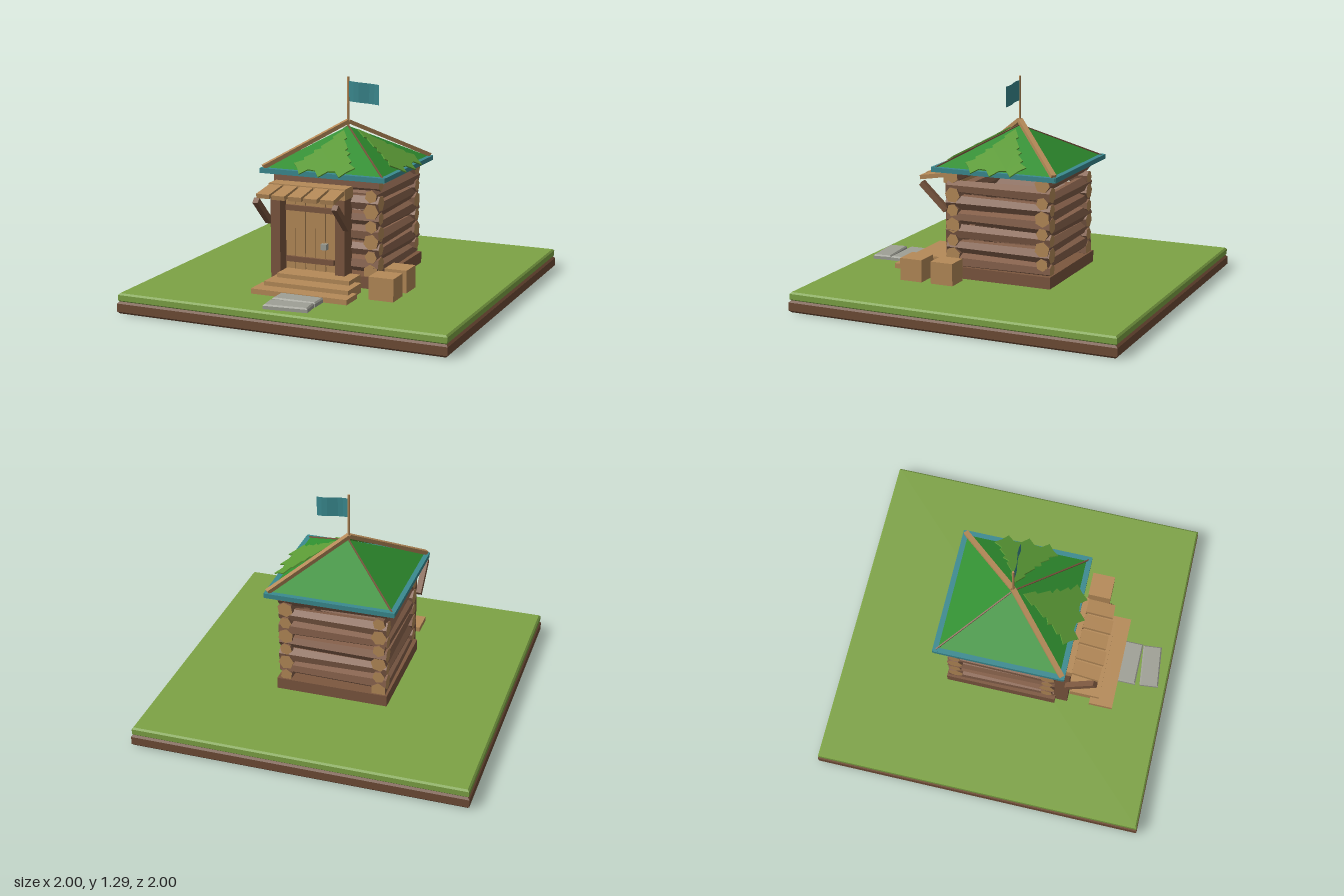
import * as THREE from 'three';

const mat = (name, color, extra = {}) => {
  const m = new THREE.MeshStandardMaterial({ color, flatShading: true, ...extra });
  m.name = name;
  return m;
};

export function createModel() {
  const soil = mat('soil', 0x6f4c36);
  const grass = mat('grass', 0x7da345);
  const bark = mat('bark', 0x85604a);
  const darkWood = mat('dark wood', 0x7c573f);
  const tan = mat('light wood', 0xb58a58);
  const roofGreen = mat('roof green', 0x2f8f2f);
  const leaf = mat('leaf green', 0x5c9c36);
  const teal = mat('teal', 0x3a8a90, { side: THREE.DoubleSide });
  const stone = mat('stone', 0x9fa096);

  const model = new THREE.Group();
  model.name = 'logCabin';
  const add = (name, geo, material, x = 0, y = 0, z = 0, parent = model) => {
    const m = new THREE.Mesh(geo, material);
    m.name = name;
    m.position.set(x, y, z);
    parent.add(m);
    return m;
  };
  // Box given by its limits on each axis
  const block = (name, material, [x0, x1], [y0, y1], [z0, z1], parent) =>
    add(name, new THREE.BoxGeometry(x1 - x0, y1 - y0, z1 - z0), material,
      (x0 + x1) / 2, (y0 + y1) / 2, (z0 + z1) / 2, parent);
  // Rectangular beam between two points
  const beam = (name, material, a, b, w, h) => {
    const p = new THREE.Vector3(...a), q = new THREE.Vector3(...b);
    const m = add(name, new THREE.BoxGeometry(w, h, p.distanceTo(q)), material);
    m.position.copy(p).lerp(q, 0.5);
    m.lookAt(q);
    return m;
  };
  // Slab with chamfered top and bottom edges
  const slab = (name, material, w, d, h, bevel, x, y, z) => {
    const a = w / 2 - bevel, b = d / 2 - bevel;
    const s = new THREE.Shape([[-a, -b], [a, -b], [a, b], [-a, b]].map(p => new THREE.Vector2(...p)));
    const g = new THREE.ExtrudeGeometry(s, {
      depth: h - 2 * bevel, bevelEnabled: true, bevelSize: bevel, bevelThickness: bevel, bevelSegments: 1,
    });
    g.rotateX(-Math.PI / 2);
    return add(name, g, material, x, y + bevel, z);
  };

  // Ground
  slab('soil', soil, 2, 2, 0.072, 0.012, 0, 0, 0);
  slab('grass', grass, 1.99, 1.99, 0.052, 0.01, 0, 0.068, 0);

  // Foundation and interlocking log walls
  block('foundation', darkWood, [-0.34, 0.34], [0.12, 0.19], [-0.34, 0.34]);
  const walls = new THREE.Group();
  walls.name = 'logWalls';
  model.add(walls);
  const log = (i, along, y, offset) => {
    const flip = i % 2 ? 1 : -1;
    const g = new THREE.CylinderGeometry(0.043 + 0.005 * flip, 0.043 - 0.005 * flip, 0.66, 6);
    g.rotateY(i * 0.37);
    if (along === 'x') g.rotateZ(Math.PI / 2); else g.rotateX(Math.PI / 2);
    add('log', g, [bark, tan, tan], along === 'x' ? 0 : offset, y, along === 'x' ? offset : 0, walls);
  };
  for (let i = 0; i < 6; i++) {
    for (const s of [-1, 1]) {
      log(i + (s > 0 ? 3 : 0), 'z', 0.215 + 0.089 * i, s * 0.285);
      log(i + (s > 0 ? 2 : 1), 'x', i === 5 ? 0.725 : 0.255 + 0.09 * i, s * 0.285);
    }
  }

  // Door, frame and handle
  for (let i = 0; i < 5; i++) {
    const x = -0.235 + i * 0.064;
    block('doorPlank', tan, [x, x + 0.06], [0.19, 0.645], [0.33, 0.365 + (i % 2) * 0.004]);
  }
  for (const y of [0.26, 0.565]) block('doorStrap', darkWood, [-0.23, 0.075], [y - 0.016, y + 0.016], [0.36, 0.383]);
  block('doorHandle', stone, [0, 0.035], [0.335, 0.37], [0.36, 0.395]);
  for (const x of [-0.31, 0.1]) block('doorPost', darkWood, [x, x + 0.06], [0.12, 0.645], [0.31, 0.415]);
  block('lintel', tan, [-0.315, 0.165], [0.645, 0.71], [0.31, 0.425]);

  // Sloped canopy on diagonal braces
  for (let i = 0; i < 5; i++) {
    const x = -0.268 + i * 0.097;
    const tip = 0.585 + (i % 2) * 0.008;
    beam('canopyPlank', tan, [x, 0.695, 0.40], [x + (i - 2) * 0.003, 0.665, tip], 0.082, 0.026);
  }
  for (const x of [-0.325, 0.168]) beam('canopyBrace', darkWood, [x, 0.48, 0.405], [x, 0.635, 0.57], 0.034, 0.035);

  // Steps
  block('lowerStep', tan, [-0.3, 0.295], [0.118, 0.15], [0.55, 0.695]);
  block('middleStep', tan, [-0.26, 0.265], [0.118, 0.175], [0.42, 0.605]);
  block('upperStep', tan, [-0.23, 0.225], [0.118, 0.2], [0.34, 0.5]);

  // Stepping stones and crates
  slab('steppingStone', stone, 0.265, 0.115, 0.035, 0.008, 0.02, 0.112, 0.745);
  slab('steppingStone', stone, 0.26, 0.115, 0.035, 0.008, 0.025, 0.112, 0.875).rotation.y = 0.1;
  block('crate', tan, [0.36, 0.51], [0.12, 0.253], [0.4, 0.54]);
  block('crate', tan, [0.375, 0.51], [0.12, 0.253], [0.2, 0.34]);

  // Pyramid roof with trim and ridge beams
  const pyramid = new THREE.ConeGeometry(0.38 * Math.SQRT2, 0.225, 4);
  pyramid.rotateY(Math.PI / 4);
  add('roof', pyramid, roofGreen, 0, 0.8875, 0);
  for (const s of [-1, 1]) {
    block('eaveTrim', teal, [-0.39, 0.39], [0.757, 0.786], [s * 0.377 - 0.016, s * 0.377 + 0.016]);
    block('eaveTrim', teal, [s * 0.377 - 0.016, s * 0.377 + 0.016], [0.758, 0.785], [-0.385, 0.385]);
    beam('ridgeBeam', tan, [-s * 0.375, 0.79, s * 0.375], [0, 1.028, 0], 0.03, 0.024);
    beam('ridgeSeam', darkWood, [s * 0.375, 0.781, s * 0.375], [0, 1.0, 0], 0.008, 0.008);
  }

  // Tree-shaped leaf patches on the front and left slopes
  const half = [[0.045, 0.08], [0.035, 0.095], [0.085, 0.17], [0.075, 0.19], [0.115, 0.21], [0.105, 0.235],
    [0.15, 0.28], [0.14, 0.3], [0.192, 0.335], [0.155, 0.375], [0.125, 0.425], [0.085, 0.38], [0.04, 0.385]];
  const outline = [[0, 0.01], ...half.map(([u, v]) => [-u, v]), [0, 0.437], ...half.slice().reverse()];
  const patch = new THREE.ExtrudeGeometry(
    new THREE.Shape(outline.map(([u, v]) => new THREE.Vector2(u, -v))), { depth: 0.007, bevelEnabled: false });
  patch.rotateX(-Math.PI / 3);
  patch.translate(0, 0.984, 0.05);
  add('leafPatch', patch, leaf);
  add('leafPatch', patch, leaf).rotation.y = Math.PI / 2;

  // Flag and pole
  add('flagPole', new THREE.CylinderGeometry(0.007, 0.008, 0.29, 6), tan, 0, 1.147, 0);
  const flag = new THREE.PlaneGeometry(0.19, 0.12, 6, 1);
  const p = flag.attributes.position;
  for (let i = 0; i < p.count; i++) {
    const t = p.getX(i) / 0.19 + 0.5;
    p.setY(i, p.getY(i) - 0.014 * t);
    p.setZ(i, 0.006 * Math.sin(t * Math.PI * 2));
  }
  flag.computeVertexNormals();
  add('flag', flag, teal, 0.1, 1.207, 0);

  return model;
}
